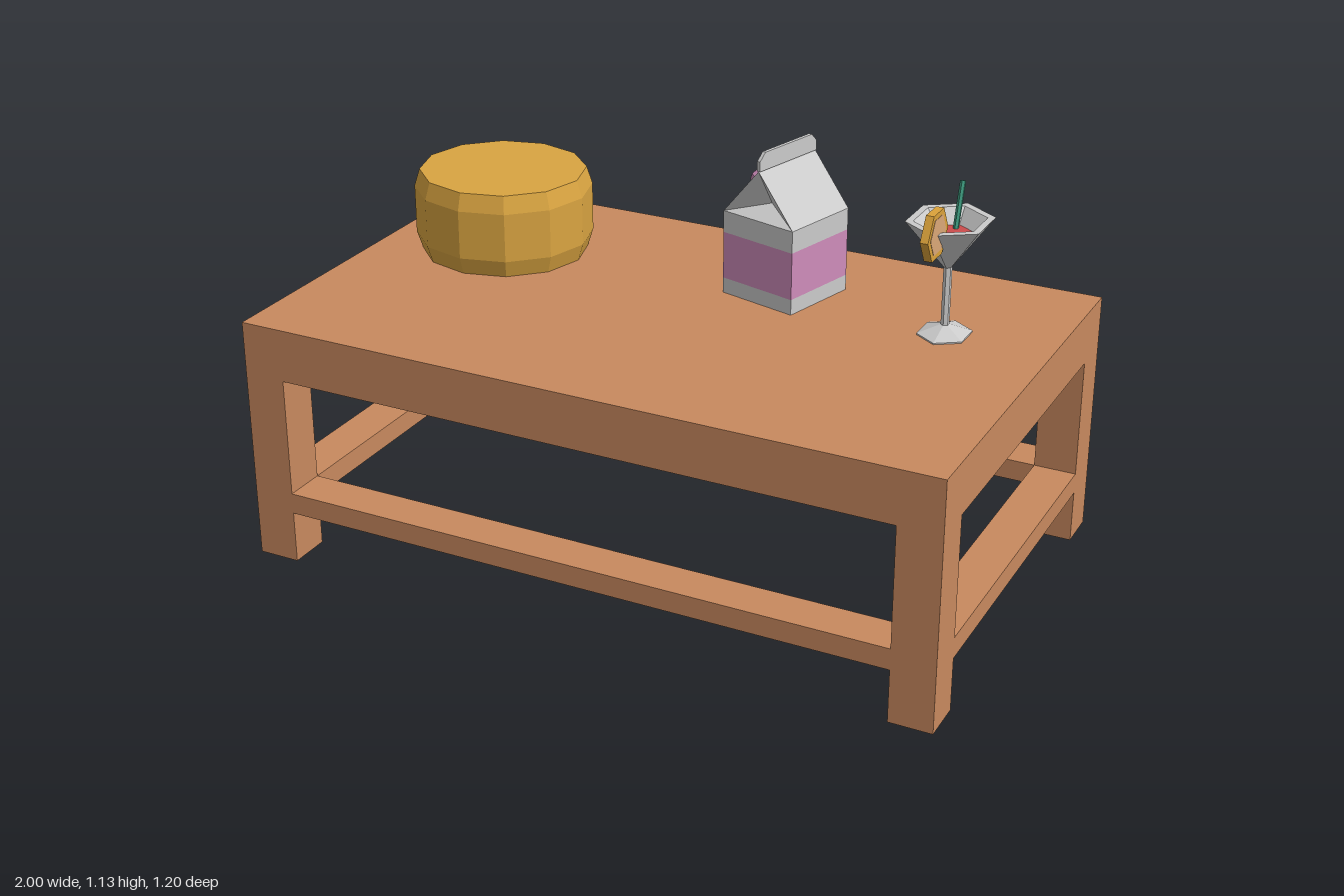
import * as THREE from 'three';

const mat = (color) => new THREE.MeshStandardMaterial({ color, flatShading: true, side: THREE.DoubleSide });
const WOOD = mat(0xc8895e), GOLD = mat(0xd9a441), GREY = mat(0xcccccc), PINK = mat(0xcf8cbb);
const RED = mat(0xcc4c4c), ORANGE = mat(0xdba23a), FLESH = mat(0xdba878), GREEN = mat(0x3f9c80);

function add(parent, name, geometry, material, x = 0, y = 0, z = 0) {
  const mesh = new THREE.Mesh(geometry, material);
  mesh.name = name;
  mesh.position.set(x, y, z);
  parent.add(mesh);
  return mesh;
}

function group(parent, name, x, y, z) {
  const g = new THREE.Group();
  g.name = name;
  g.position.set(x, y, z);
  parent.add(g);
  return g;
}

const box = (w, h, d) => new THREE.BoxGeometry(w, h, d);
const lathe = (points, sides) => new THREE.LatheGeometry(points.map(([r, y]) => new THREE.Vector2(r, y)), sides);

// Table: solid top, four square legs, and a low frame of stretchers
function buildTable(parent) {
  const table = group(parent, 'table', 0, 0, 0);
  add(table, 'tableTop', box(2, 0.15, 1.2), WOOD, 0, 0.625, 0);
  for (const s of [-1, 1]) {
    for (const t of [-1, 1]) add(table, 'leg', box(0.12, 0.55, 0.12), WOOD, s * 0.94, 0.275, t * 0.54);
    add(table, 'longStretcher', box(1.76, 0.06, 0.12), WOOD, 0, 0.18, s * 0.54);
    add(table, 'sideStretcher', box(0.12, 0.06, 0.96), WOOD, s * 0.94, 0.18, 0);
  }
}

// Round drum with bevelled edges
function buildDrum(parent) {
  const profile = [[0, 0], [0.24, 0], [0.256, 0.05], [0.256, 0.19], [0.24, 0.24], [0, 0.24]];
  add(parent, 'drum', lathe(profile, 12), GOLD, -0.652, 0.7, -0.19).scale.z = 0.965;
}

// Gable-top carton with tucked ends, a crimped fin and a slanted cap
function buildCarton(parent) {
  const carton = group(parent, 'carton', 0.204, 0.7, -0.25);
  carton.rotation.y = -THREE.MathUtils.degToRad(15);
  const h = 0.12, wall = 0.24, ridge = 0.38;
  for (const [name, y0, y1, m] of [['cartonBase', 0, 0.044, GREY], ['cartonBand', 0.044, 0.178, PINK], ['cartonShoulder', 0.178, wall, GREY]])
    add(carton, name, box(2 * h, y1 - y0, 2 * h), m, 0, (y0 + y1) / 2, 0);

  // Roof slopes and the inward fold at each end
  const tris = [];
  for (const s of [1, -1]) {
    const a = [-s * h, wall, s * h], b = [s * h, wall, s * h];
    const r = [0, ridge, s * h], p = [0, wall + 0.035, s * 0.06];
    const c = [s * h, wall, -s * h], q = [0, ridge, -s * h];
    tris.push(a, b, p, b, r, p, r, a, p, b, c, q, b, q, r);
  }
  const roof = new THREE.BufferGeometry();
  roof.setAttribute('position', new THREE.Float32BufferAttribute(tris.flat(), 3));
  roof.computeVertexNormals();
  add(carton, 'cartonRoof', roof, GREY);

  const fin = new THREE.Shape([[-h, 0], [h, 0], [h, 0.028], [0.098, 0.05], [-0.098, 0.05], [-h, 0.028]]
    .map(([x, y]) => new THREE.Vector2(x, y)));
  const finGeo = new THREE.ExtrudeGeometry(fin, { depth: 0.01, bevelEnabled: false });
  finGeo.translate(0, 0, -0.005).rotateY(Math.PI / 2);
  add(carton, 'cartonFin', finGeo, GREY, 0, ridge, 0);

  const cap = add(carton, 'cartonCap', new THREE.CylinderGeometry(0.042, 0.042, 0.036, 6), PINK, -0.073, 0.322, 0);
  cap.rotation.z = Math.atan2(ridge - wall, h);
}

// Six-sided cocktail glass with drink, fruit slice and straw
function buildCocktail(parent) {
  const cocktail = group(parent, 'cocktail', 0.7, 0.7, -0.178);
  const profile = [[0, 0], [0.083, 0], [0.083, 0.004], [0.013, 0.027], [0.013, 0.19], [0.132, 0.322], [0.108, 0.322], [0, 0.205]];
  add(cocktail, 'glass', lathe(profile, 6), GREY).scale.x = 0.88;
  const drink = add(cocktail, 'drink', new THREE.CylinderGeometry(0.072, 0.01, 0.065, 6), RED, 0, 0.25, 0);
  drink.scale.x = 0.9;

  const slice = group(cocktail, 'fruitSlice', 0, 0.322, 0.119);
  for (const [name, r, w, m] of [['rind', 0.072, 0.022, ORANGE], ['flesh', 0.055, 0.024, FLESH]])
    add(slice, name, new THREE.CylinderGeometry(r, r, w, 6).rotateZ(Math.PI / 2), m);

  const straw = add(cocktail, 'straw', new THREE.CylinderGeometry(0.008, 0.008, 0.16, 6), GREEN, 0, 0.326, -0.058);
  straw.rotation.x = -0.3;
}

export function createModel() {
  const model = new THREE.Group();
  model.name = 'tableWithRefreshments';
  buildTable(model);
  buildDrum(model);
  buildCarton(model);
  buildCocktail(model);
  return model;
}
